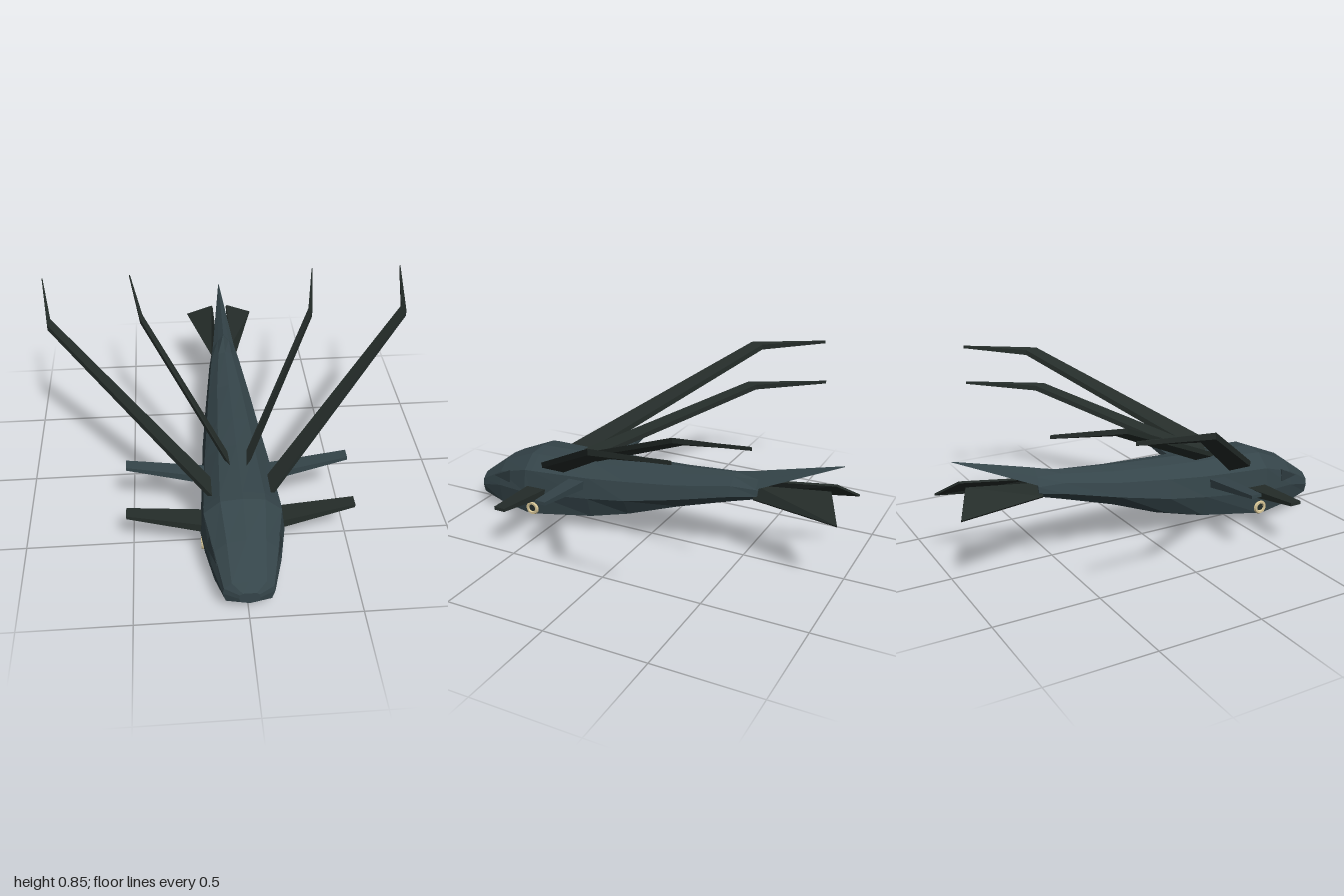
import * as THREE from 'three';

const paint = (color) => new THREE.MeshStandardMaterial({ color, flatShading: true, side: THREE.DoubleSide });
const hullMat = paint(0x35454a);
const wingMat = paint(0x252d2a);
const glassMat = paint(0x2b383c);
const goldMat = paint(0xd6c596);

// Skin a list of closed rings (equal point counts) and cap both ends.
function loft(rings) {
  const n = rings[0].length, last = (rings.length - 1) * n, index = [];
  for (let i = 0; i < rings.length - 1; i++) {
    for (let j = 0; j < n; j++) {
      const a = i * n + j, b = i * n + (j + 1) % n;
      index.push(a, a + n, b, b, a + n, b + n);
    }
  }
  for (let j = 1; j < n - 1; j++) {
    index.push(0, j, j + 1, last, last + j + 1, last + j);
  }
  const g = new THREE.BufferGeometry();
  g.setAttribute('position', new THREE.Float32BufferAttribute(rings.flat(2), 3));
  g.setIndex(index);
  const flat = g.toNonIndexed();
  flat.computeVertexNormals();
  return flat;
}

// Mirror rings to the -x side, keeping the faces outward.
const sided = (rings, s) => (s > 0 ? rings
  : rings.map((r) => r.map(([x, y, z]) => [-x, y, z]).reverse()));

// Full ring from a half profile running bottom centre to top centre.
function hullRing([z, bottom, top, ...half]) {
  const right = half.map(([x, y]) => [x, y, z]);
  const left = half.map(([x, y]) => [-x, y, z]).reverse();
  return [[0, bottom, z], ...right, [0, top, z], ...left];
}

// Four-cornered blade section: front edge (xf, zf), back edge (xb, zb), height y, thickness t.
const bladeRing = ([xf, zf, xb, zb, y, t, drop = 0]) => [
  [xf, y + t / 2, zf], [xb, y + t / 2 - drop, zb],
  [xb, y - t / 2 - drop, zb], [xf, y - t / 2, zf],
];

export function createModel() {
  const model = new THREE.Group();
  const add = (name, geometry, material) => {
    const m = new THREE.Mesh(geometry, material);
    m.name = name;
    model.add(m);
    return m;
  };

  // Fuselage: z, bottom, top, then chine, side, shoulder, roof edge
  add('fuselage', loft([
    [0.995, 0.09, 0.15, [0.04, 0.1], [0.045, 0.12], [0.042, 0.14], [0.03, 0.15]],
    [0.96, 0.06, 0.185, [0.1, 0.075], [0.113, 0.12], [0.108, 0.15], [0.075, 0.18]],
    [0.82, 0.03, 0.29, [0.14, 0.06], [0.155, 0.16], [0.14, 0.23], [0.085, 0.28]],
    [0.64, 0.005, 0.365, [0.172, 0.05], [0.19, 0.17], [0.175, 0.29], [0.1, 0.355]],
    [0.6, 0, 0.367, [0.171, 0.05], [0.188, 0.17], [0.174, 0.292], [0.1, 0.357]],
    [0.28, 0.045, 0.38, [0.13, 0.09], [0.165, 0.2], [0.15, 0.305], [0.085, 0.365]],
    [0.08, 0.1, 0.39, [0.1, 0.135], [0.15, 0.225], [0.13, 0.32], [0.075, 0.375]],
    [-0.18, 0.2, 0.405, [0.07, 0.22], [0.12, 0.275], [0.105, 0.345], [0.06, 0.39]],
    [-0.45, 0.285, 0.43, [0.04, 0.295], [0.085, 0.335], [0.072, 0.385], [0.035, 0.42]],
    [-0.58, 0.325, 0.462, [0.03, 0.33], [0.062, 0.355], [0.058, 0.385], [0.03, 0.425]],
  ].map(hullRing)), hullMat);

  // Tapering spike above the tail
  add('tailSpike', loft([
    [-0.57, 0.385, 0.461, [0.058, 0.388], [0.03, 0.425]],
    [-0.96, 0.556, 0.56, [0.002, 0.557], [0.001, 0.559]],
  ].map(hullRing)), hullMat);

  for (const s of [1, -1]) {
    const side = s > 0 ? 'left' : 'right';

    // Long folded rotor wings with a bent tip
    add(side + 'OuterWing', loft(sided([
      [0.12, 0.58, 0.12, 0.45, 0.305, 0.03],
      [0.868, -0.165, 0.858, -0.23, 0.795, 0.028, 0.005],
      [0.923, -0.558, 0.917, -0.55, 0.845, 0.015],
    ].map(bladeRing), s)), wingMat);
    add(side + 'InnerWing', loft(sided([
      [0.025, 0.44, 0.03, 0.34, 0.345, 0.025],
      [0.432, -0.32, 0.42, -0.37, 0.718, 0.025, 0.005],
      [0.488, -0.705, 0.482, -0.695, 0.77, 0.014],
    ].map(bladeRing), s)), wingMat);

    // Stub wings on the flank
    add(side + 'UpperStub', loft(sided([
      [0.12, 0.39, 0.12, 0.305, 0.26, 0.045],
      [0.518, 0.345, 0.518, 0.29, 0.32, 0.016],
    ].map(bladeRing), s)), hullMat);
    add(side + 'LowerStub', loft(sided([
      [0.14, 0.63, 0.14, 0.52, 0.18, 0.045],
      [0.52, 0.582, 0.52, 0.525, 0.235, 0.016],
    ].map(bladeRing), s)), wingMat);

    // Splayed tail fin
    const fin = [[0.035, 0.395, -0.56], [0.062, 0.335, -0.56], [0.18, 0.35, -0.995], [0.04, 0.442, -0.92]];
    const shift = (d) => fin.map(([x, y, z]) => [x + 0.6 * d, y + 0.8 * d, z]);
    add(side + 'TailFin', loft(sided([shift(-0.005), shift(0.005)], s)), wingMat);

    // Cockpit side window
    const pane = [[0.128, 0.197, 0.87], [0.165, 0.195, 0.75], [0.152, 0.258, 0.75]];
    const lift = (d) => pane.map(([x, y, z]) => [x + d, y + d * 0.2, z]);
    add(side + 'Window', loft(sided([lift(-0.004), lift(0.004)], s)), glassMat);

    // Round lamp with a gold rim
    const rim = add(side + 'LampRim', new THREE.TorusGeometry(0.027, 0.01, 6, 16), goldMat);
    const lens = add(side + 'LampLens', new THREE.CylinderGeometry(0.018, 0.022, 0.02, 8), wingMat);
    rim.position.set(s * 0.178, 0.085, 0.603);
    rim.rotation.y = Math.PI / 2;
    lens.position.set(s * 0.172, 0.085, 0.603);
    lens.rotation.z = -s * Math.PI / 2;
  }
  return model;
}
